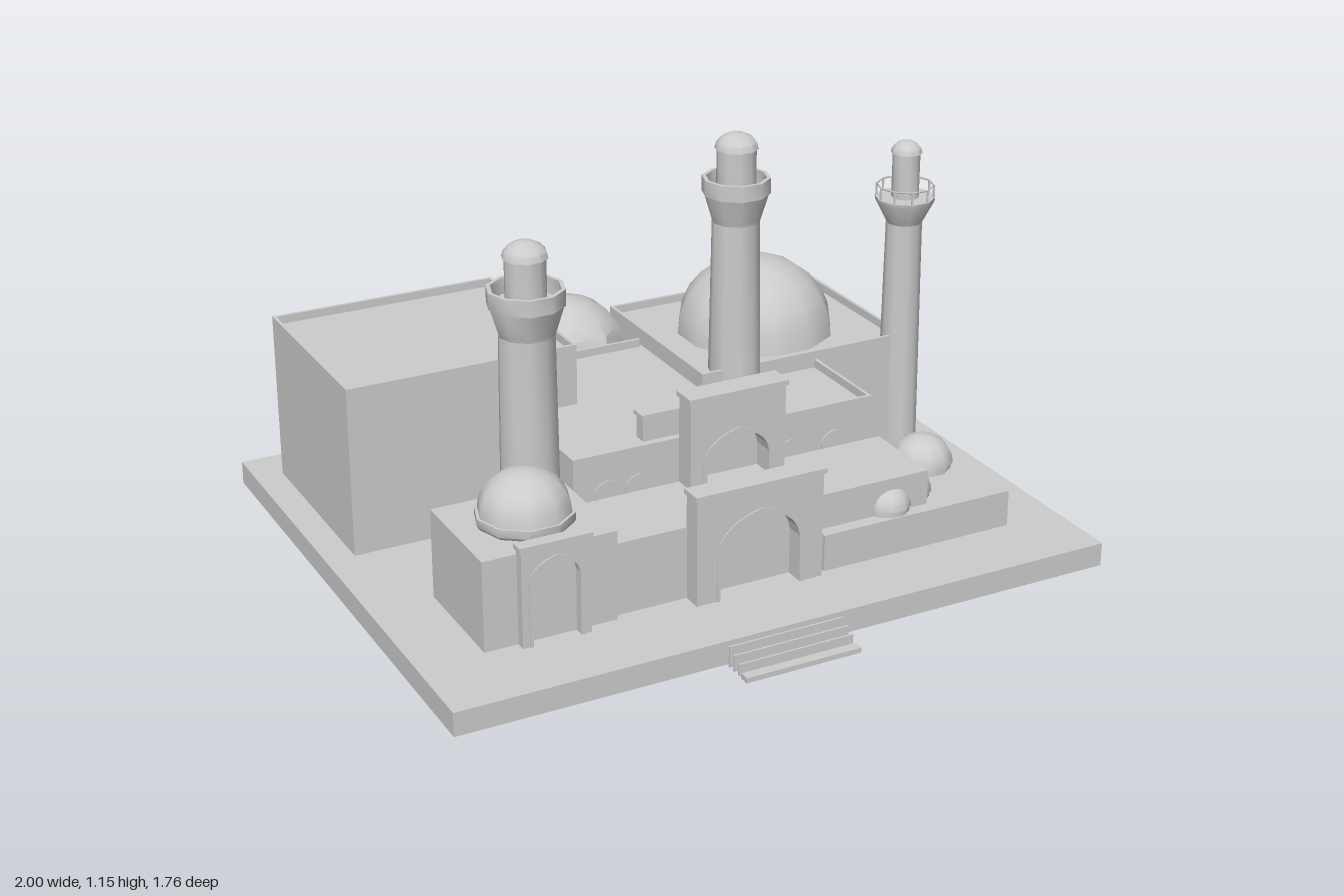
import * as THREE from 'three';
import { toCreasedNormals } from 'three/addons/utils/BufferGeometryUtils.js';

const G = 0.07; // top of the plinth

export function createModel() {
  const model = new THREE.Group();
  const stone = new THREE.MeshStandardMaterial({ color: 0xcccccc });
  stone.name = 'grey stone';

  const add = (name, geometry, x = 0, y = 0, z = 0) => {
    const mesh = new THREE.Mesh(geometry, stone);
    mesh.name = name;
    mesh.position.set(x, y, z);
    model.add(mesh);
    return mesh;
  };

  // Box given by its limits
  const block = (name, x0, x1, y0, y1, z0, z1) =>
    add(name, new THREE.BoxGeometry(x1 - x0, y1 - y0, z1 - z0),
      (x0 + x1) / 2, (y0 + y1) / 2, (z0 + z1) / 2);

  // Faceted turned part; the profile runs from bottom to top
  const turned = (name, profile, x, z, sides) => {
    const points = profile.map(([r, y]) => new THREE.Vector2(r, y));
    const lathe = new THREE.LatheGeometry(points, sides, Math.PI / sides);
    return add(name, toCreasedNormals(lathe, 0.7), x, 0, z);
  };

  const domeProfile = (r, y, h, steps = 6) =>
    Array.from({ length: steps + 1 }, (_, i) => {
      const a = (i / steps) * Math.PI / 2;
      return [i === steps ? 0 : r * Math.cos(a), y + h * Math.sin(a)];
    });

  // Flat roof hidden behind a thin parapet
  const hall = (name, x0, x1, top, z0, z1, sides = 'lrfb') => {
    const t = 0.01, low = top - 0.025;
    block(name, x0, x1, G, low, z0, z1);
    if (sides.includes('l')) block(name + 'Parapet', x0, x0 + t, low, top, z0, z1);
    if (sides.includes('r')) block(name + 'Parapet', x1 - t, x1, low, top, z0, z1);
    if (sides.includes('f')) block(name + 'Parapet', x0 + t, x1 - t, low, top, z1 - t, z1);
    if (sides.includes('b')) block(name + 'Parapet', x0 + t, x1 - t, low, top, z0, z0 + t);
  };

  // Pointed arch outline standing on y = 0
  const archPath = (path, w, h) => {
    const spring = h - w * 0.85;
    path.moveTo(-w, 0);
    path.lineTo(-w, spring);
    path.quadraticCurveTo(-w * 0.92, h - w * 0.2, 0, h);
    path.quadraticCurveTo(w * 0.92, h - w * 0.2, w, spring);
    path.lineTo(w, 0);
    path.closePath();
    return path;
  };

  const extrude = (shape, depth) =>
    new THREE.ExtrudeGeometry(shape, { depth, bevelEnabled: false, curveSegments: 5 });

  // Raised band around an arch
  const archBand = (name, x, y, z, w, h, t) => {
    const shape = archPath(new THREE.Shape(), w + t, h + t);
    shape.holes.push(archPath(new THREE.Path(), w, h));
    add(name, extrude(shape, 0.006), x, y, z);
  };

  // Portal wall with arched opening and cornice
  const portal = (name, x, y, z0, z1, halfWidth, height, w, h) => {
    const shape = new THREE.Shape();
    shape.moveTo(-halfWidth, 0);
    shape.lineTo(-w, 0);
    const spring = h - w * 0.85;
    shape.lineTo(-w, spring);
    shape.quadraticCurveTo(-w * 0.92, h - w * 0.2, 0, h);
    shape.quadraticCurveTo(w * 0.92, h - w * 0.2, w, spring);
    shape.lineTo(w, 0);
    shape.lineTo(halfWidth, 0);
    shape.lineTo(halfWidth, height);
    shape.lineTo(-halfWidth, height);
    add(name + 'Wall', extrude(shape, z1 - z0), x, y, z0);
    block(name + 'Cornice', x - halfWidth - 0.006, x + halfWidth + 0.006,
      y + height, y + height + 0.015, z0 - 0.004, z1 + 0.006);
    archBand(name + 'ArchBand', x, y, z1 - 0.002, w, h, 0.01);
  };

  // Plinth and entrance steps
  block('plinth', -1, 1, 0, G, -0.88, 0.77);
  [[0.785, 0.062], [0.81, 0.048], [0.835, 0.034]].forEach(([z, h]) =>
    block('stepRiser', -0.22, 0.13, 0, h, z - 0.003, z + 0.003));
  block('bottomStep', -0.22, 0.13, 0, 0.015, 0.85, 0.88);

  // Halls
  hall('rearLeftHall', -0.915, -0.215, 0.58, -0.75, -0.14);
  hall('domedHall', 0.15, 0.845, 0.447, -0.665, -0.055);
  hall('centralHall', -0.415, 0.54, 0.42, -0.055, 0.25, 'lrf');
  hall('centralHallLeftBay', -0.415, -0.215, 0.42, -0.14, -0.055, 'l');
  hall('rearPassage', -0.215, 0.15, 0.42, -0.45, -0.055, 'b');
  block('frontWing', -0.42, 0.57, G, 0.285, 0.25, 0.51);
  block('frontLeftChapel', -0.81, -0.42, G, 0.335, 0.185, 0.53);
  block('lowAnnex', 0.21, 0.825, G, 0.18, 0.165, 0.55);

  // Portals
  portal('frontPortal', -0.005, G, 0.508, 0.568, 0.196, 0.315, 0.125, 0.245);
  portal('innerPortal', 0.062, 0.285, 0.25, 0.319, 0.15, 0.262, 0.1, 0.155);
  portal('chapelPortal', -0.612, G, 0.53, 0.559, 0.1, 0.282, 0.07, 0.245);
  block('roofWall', -0.165, 0.075, 0.395, 0.465, 0.14, 0.18);
  block('roofWallCornice', -0.171, 0.081, 0.465, 0.477, 0.134, 0.186);

  // Arched windows above the front wing
  [-0.31, -0.215, 0.27, 0.415].forEach((x) =>
    archBand('archedWindow', x, 0.286, 0.248, 0.033, 0.045, 0.008));

  // Domes
  turned('greatDome', domeProfile(0.242, 0.422, 0.233), 0.495, -0.36, 12);
  turned('rearTower', [[0.155, G], [0.155, 0.38]], -0.025, -0.605, 8);
  turned('rearTowerDome', [[0.13, 0.38], ...domeProfile(0.17, 0.38, 0.15, 4)],
    -0.025, -0.605, 8);
  turned('chapelDrum', [[0.13, 0.335], [0.138, 0.345], [0.138, 0.368], [0.12, 0.368]],
    -0.61, 0.36, 10);
  turned('chapelDome', domeProfile(0.13, 0.367, 0.118), -0.61, 0.36, 10);
  [[0.695, 0.29, 0.092, 0.1], [0.54, 0.425, 0.085, 0.1], [0.453, 0.485, 0.068, 0.075]]
    .forEach(([x, z, r, h]) => turned('annexDome',
      [[r * 0.93, 0.18], [r * 0.93, 0.197], ...domeProfile(r, 0.197, h - 0.017)], x, z, 10));

  // Minarets with a walled balcony
  const minaret = (x, z, base, flare, r) => {
    const balcony = flare + 0.075, rim = balcony + 0.047, R = r + 0.027;
    const lantern = rim + 0.085;
    turned('minaretShaft', [[r + 0.005, base], [r - 0.003, flare - 0.01]], x, z, 10);
    turned('minaretBalcony', [[r - 0.003, flare - 0.01], [r, flare],
      [R - 0.004, balcony], [R, balcony], [R, rim], [R - 0.012, rim],
      [R - 0.012, balcony], [0, balcony]], x, z, 10);
    turned('minaretLantern', [[0.058, balcony], [0.058, lantern]], x, z, 10);
    turned('minaretCap', [[0.055, lantern], ...domeProfile(0.064, lantern, 0.047, 4)], x, z, 10);
  };
  minaret(-0.503, 0.16, G, 0.79, 0.082);
  minaret(0.28, -0.1, 0.39, 0.9, 0.073);

  // Slender minaret with an open railing
  const sx = 0.845, sz = -0.08;
  turned('slenderShaft', [[0.062, G], [0.054, 0.8]], sx, sz, 10);
  turned('slenderBalcony', [[0.054, 0.8], [0.088, 0.866], [0.09, 0.878], [0, 0.878]], sx, sz, 10);
  turned('slenderLantern', [[0.041, 0.878], [0.041, 1.015]], sx, sz, 10);
  turned('slenderCap', [[0.04, 1.015], ...domeProfile(0.047, 1.015, 0.037, 4)], sx, sz, 10);
  const rail = add('balconyRail', new THREE.TorusGeometry(0.085, 0.003, 4, 10), sx, 0.915, sz);
  rail.rotation.x = Math.PI / 2;
  for (let i = 0; i < 10; i++) {
    const a = (i / 10) * Math.PI * 2;
    add('railPost', new THREE.BoxGeometry(0.005, 0.037, 0.005),
      sx + 0.085 * Math.cos(a), 0.896, sz + 0.085 * Math.sin(a));
  }

  return model;
}
